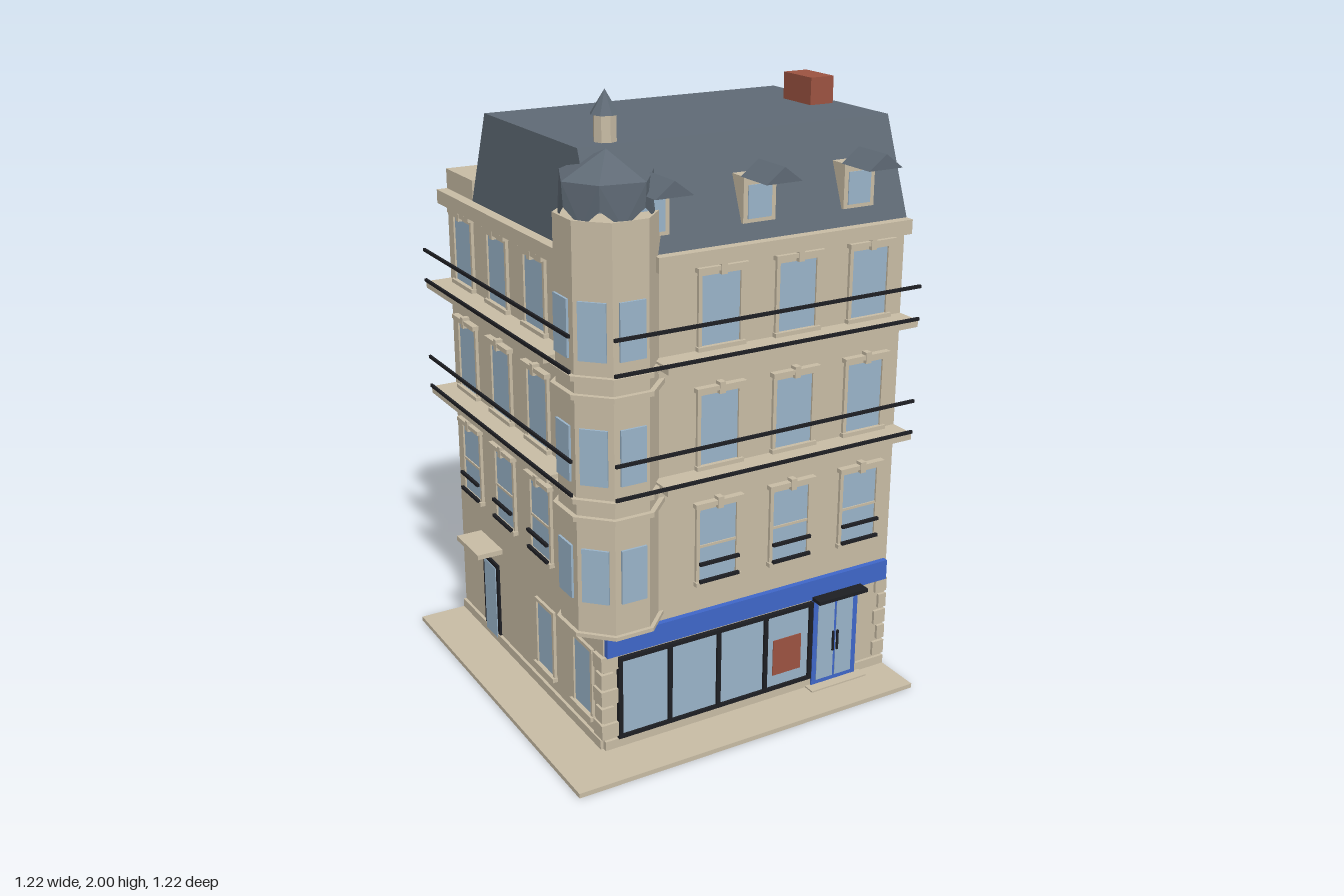
import * as THREE from 'three';

const mat = (name, color, side = THREE.FrontSide) => {
  const m = new THREE.MeshStandardMaterial({ color, side, flatShading: true });
  m.name = name;
  return m;
};

export function createModel() {
  const stone = mat('stone', 0xc8bca5);
  const slate = mat('slate', 0x5f6a75, THREE.DoubleSide);
  const glass = mat('glass', 0x9ab4c9);
  const iron = mat('iron', 0x1e1f23);
  const blue = mat('bluePaint', 0x3f67c9);
  const brick = mat('brick', 0x9c5341);
  const leaf = mat('leaf', 0x6b8e42);
  const bark = mat('bark', 0x6b3a2c);

  const model = new THREE.Group();
  model.name = 'cornerBuilding';

  const add = (parent, name, geo, material, x = 0, y = 0, z = 0) => {
    const m = new THREE.Mesh(geo, material);
    m.name = name;
    m.position.set(x, y, z);
    parent.add(m);
    return m;
  };
  // Box given by its limits on each axis
  const box = (parent, name, material, x0, x1, y0, y1, z0, z1) =>
    add(parent, name, new THREE.BoxGeometry(x1 - x0, y1 - y0, z1 - z0), material,
      (x0 + x1) / 2, (y0 + y1) / 2, (z0 + z1) / 2);
  const group = (parent, name, x = 0, y = 0, z = 0, ry = 0) => {
    const g = new THREE.Group();
    g.name = name;
    g.position.set(x, y, z);
    g.rotation.y = ry;
    parent.add(g);
    return g;
  };

  // Ground and main volumes
  box(model, 'pavement', stone, -0.61, 0.61, 0, 0.015, -0.61, 0.61);
  box(model, 'mainBlock', stone, -0.44, 0.61, 0.015, 1.545, -0.4, 0.445);
  box(model, 'rearWing', stone, -0.44, 0.39, 0.015, 1.61, -0.61, -0.4);
  box(model, 'rearCornice', stone, 0.39, 0.61, 1.52, 1.545, -0.415, -0.4);

  // Mansard roof
  const prof = new THREE.Shape([[-0.45, 1.545], [0.4, 1.545], [0.28, 1.84], [-0.335, 1.84]]
    .map(p => new THREE.Vector2(...p)));
  const roof = add(model, 'mansardRoof',
    new THREE.ExtrudeGeometry(prof, { depth: 1.052, bevelEnabled: false }), slate, -0.441);
  roof.rotation.y = Math.PI / 2;
  box(model, 'chimney', brick, 0.495, 0.58, 1.8, 1.925, -0.052, 0.096);

  // Dormers with forward-set gabled roofs
  const gable = new THREE.Shape([[-0.06, 1.73], [0.06, 1.73], [0, 1.775]].map(p => new THREE.Vector2(...p)));
  for (const x of [-0.268, 0.084, 0.435]) {
    const d = group(model, 'dormer', x);
    box(d, 'dormerBody', stone, -0.055, 0.055, 1.595, 1.73, 0.365, 0.44);
    box(d, 'dormerGlass', glass, -0.04, 0.04, 1.607, 1.705, 0.436, 0.443);
    add(d, 'dormerRoof', new THREE.ExtrudeGeometry(gable, { depth: 0.132, bevelEnabled: false }), slate, 0, 0, 0.43);
  }

  // Framed window facing local +z
  const windowAt = (parent, x, y0, y1, w, hood) => {
    const g = group(parent, 'window', x), h = w / 2;
    box(g, 'pane', glass, -h, h, y0, y1, 0, 0.004);
    for (const s of [-1, 1])
      box(g, 'jamb', stone, s * (h + 0.006) - 0.006, s * (h + 0.006) + 0.006, y0, y1, 0, 0.01);
    box(g, 'lintel', stone, -h - 0.012, h + 0.012, y1, y1 + 0.012, 0, 0.01);
    box(g, 'sill', stone, -h - 0.016, h + 0.016, y0 - 0.014, y0, 0, 0.018);
    if (hood) {
      box(g, 'hood', stone, -h - 0.02, h + 0.02, y1 + 0.012, y1 + 0.026, 0, 0.022);
      box(g, 'keystone', stone, -0.01, 0.01, y1, y1 + 0.036, 0, 0.024);
    }
    return g;
  };

  // Street facade: wall plane at local z = 0, spanning a..b; balconies stop at the tower
  const facade = (f, centres, wall, rail) => {
    for (const x of centres) {
      const g = windowAt(f, x, 0.505, 0.74, 0.13, true);
      box(g, 'transom', stone, -0.065, 0.065, 0.615, 0.623, 0, 0.008);
      for (const y of [0.508, 0.566]) box(g, 'windowRail', iron, -0.07, 0.07, y - 0.005, y + 0.005, 0.014, 0.024);
      windowAt(f, x, 0.885, 1.105, 0.13, true);
      windowAt(f, x, 1.255, 1.465, 0.13, true);
    }
    for (const y of [0.85, 1.22]) {
      box(f, 'balconySlab', stone, ...wall, y, y + 0.022, 0, 0.088);
      box(f, 'balconyMoulding', stone, ...wall, y - 0.014, y, 0, 0.03);
      for (const r of [0.027, 0.13]) box(f, 'balconyRail', iron, ...rail, y + r - 0.005, y + r + 0.005, 0.086, 0.094);
    }
    box(f, 'cornice', stone, ...wall, 1.5, 1.545, 0, 0.036);
    box(f, 'plinth', stone, ...rail, 0.015, 0.045, 0, 0.01);
  };
  const front = group(model, 'frontFacade', 0, 0, 0.445);
  facade(front, [-0.048, 0.217, 0.48], [-0.27, 0.61], [-0.44, 0.61]);
  const side = group(model, 'sideFacade', -0.44, 0, 0, -Math.PI / 2);
  facade(side, [0.048, -0.217, -0.48], [-0.61, 0.27], [-0.61, 0.44]);

  // Side street entrance and ground windows
  for (const x of [0.06, 0.32]) windowAt(side, x, 0.1, 0.32, 0.11, false);
  box(side, 'sideDoorFrame', iron, -0.42, -0.3, 0.015, 0.31, 0, 0.008);
  box(side, 'sideDoorPane', glass, -0.405, -0.315, 0.03, 0.295, 0.008, 0.011);
  box(side, 'sideCanopy', stone, -0.445, -0.27, 0.365, 0.382, 0, 0.09);

  // Courtyard windows on the wing and on the back wall
  const courts = [group(model, 'courtWing', 0.39, 0, -0.503, Math.PI / 2), group(model, 'courtBack', 0.5, 0, -0.4, Math.PI)];
  for (const c of courts) for (const y of [0.543, 0.908, 1.278]) windowAt(c, 0, y, y + 0.147, 0.085, false);

  // Ground floor corner blocks
  for (let i = 0; i < 5; i++) {
    const y = 0.055 + i * 0.058, w = i % 2 ? 0.03 : 0.045;
    box(model, 'cornerBlock', stone, -0.452, -0.44 + w, y, y + 0.048, 0.445 - w, 0.455);
    box(model, 'cornerBlock', stone, 0.61 - w, 0.61, y, y + 0.048, 0.4, 0.455);
  }

  // Shop front
  const shop = group(model, 'shopFront', 0, 0, 0.445);
  box(shop, 'shopGlass', glass, -0.39, 0.315, 0.05, 0.315, 0, 0.006);
  for (const x of [-0.388, -0.215, -0.04, 0.135, 0.308])
    box(shop, 'mullion', iron, x - 0.007, x + 0.007, 0.045, 0.32, 0, 0.014);
  for (const y of [0.05, 0.315]) box(shop, 'shopRail', iron, -0.395, 0.315, y - 0.006, y + 0.006, 0, 0.014);
  box(shop, 'poster', brick, 0.166, 0.273, 0.095, 0.22, 0.006, 0.009);
  box(shop, 'signBand', blue, -0.435, 0.6, 0.335, 0.403, 0, 0.018);
  box(shop, 'shopDoor', blue, 0.315, 0.488, 0.02, 0.33, 0, 0.016);
  for (const x of [0.332, 0.405]) box(shop, 'doorPane', glass, x, x + 0.064, 0.035, 0.312, 0.014, 0.018);
  for (const x of [0.392, 0.409]) box(shop, 'doorHandle', iron, x - 0.003, x + 0.003, 0.13, 0.2, 0.018, 0.024);
  box(shop, 'doorCanopy', iron, 0.305, 0.495, 0.333, 0.345, 0, 0.06);
  box(shop, 'doorStep', stone, 0.295, 0.51, 0.015, 0.02, 0, 0.05);

  // Octagonal corner tower
  const tower = group(model, 'cornerTower', -0.375, 0, 0.375);
  const octagon = (name, apothem, y0, y1) => {
    const r = apothem / Math.cos(Math.PI / 8);
    add(tower, name, new THREE.CylinderGeometry(r, r, y1 - y0, 8), stone, 0, (y0 + y1) / 2).rotation.y = Math.PI / 8;
  };
  octagon('towerShaft', 0.138, 0.43, 1.67);
  octagon('towerFoot', 0.15, 0.425, 0.437);
  for (const y of [0.795, 0.85, 1.165, 1.22]) octagon('towerBand', 0.153, y, y + 0.015);
  for (const a of [0, -1, -2]) {
    const f = group(tower, 'towerFacet', 0, 0, 0, a * Math.PI / 4);
    for (const y of [0.54, 0.91, 1.28])
      box(f, 'towerPane', glass, -0.041, 0.041, y, y + 0.17, 0.143, 0.15);
  }

  // Faceted tower roof with a jagged skirt
  const angles = [0, 72, 125, 171, 238, 300];
  const at = (deg, r, y) => [r * Math.cos(deg * Math.PI / 180), y, r * Math.sin(deg * Math.PI / 180)];
  const tris = [];
  angles.forEach((a, i) => {
    const b = i < 5 ? angles[i + 1] : 360;
    const A = at(a, 0.15, 1.77), B = at(b, 0.15, 1.77), M = at((a + b) / 2, 0.135, 1.65);
    const A2 = at(a, 0.145, 1.7), B2 = at(b, 0.145, 1.7);
    tris.push([0, 1.84, 0], B, A, A, B, M, A, M, A2, B, B2, M);
  });
  const dome = new THREE.BufferGeometry();
  dome.setAttribute('position', new THREE.Float32BufferAttribute(tris.flat(), 3));
  dome.computeVertexNormals();
  add(tower, 'towerRoof', dome, slate);
  add(tower, 'lantern', new THREE.CylinderGeometry(0.033, 0.033, 0.075, 8), stone, 0, 1.897, -0.003);
  add(tower, 'lanternCap', new THREE.ConeGeometry(0.042, 0.067, 8), slate, 0, 1.9665, -0.003);

  // Courtyard tree
  const tree = group(model, 'tree', 0.512, 0, -0.505);
  add(tree, 'trunk', new THREE.CylinderGeometry(0.009, 0.011, 0.16, 6), bark, 0, 0.095, 0);
  add(tree, 'crown', new THREE.IcosahedronGeometry(0.079, 0), leaf, 0, 0.215, 0).rotation.y = Math.PI / 2;

  return model;
}
